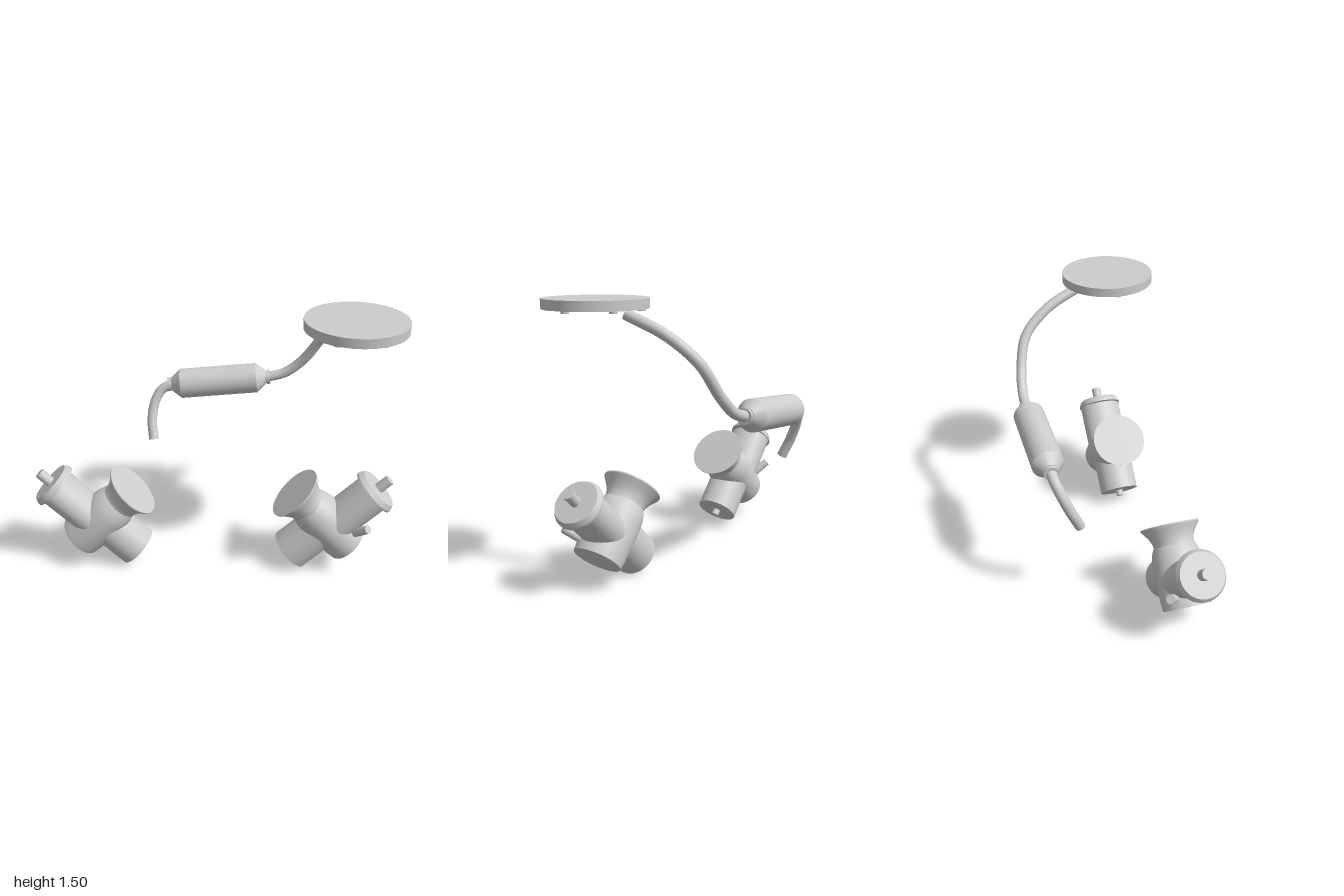
import * as THREE from 'three';
import { toCreasedNormals } from 'three/addons/utils/BufferGeometryUtils.js';

const metal = new THREE.MeshStandardMaterial({ color: 0xcccccc });
metal.name = 'light grey metal';

function mesh(name, geometry, parent) {
  const m = new THREE.Mesh(geometry, metal);
  m.name = name;
  parent.add(m);
  return m;
}

// Solid of revolution about y; profile is [radius, height] from bottom to top
function turned(profile, segments = 48) {
  const pts = profile.map(([r, y]) => new THREE.Vector2(r, y));
  return toCreasedNormals(new THREE.LatheGeometry(pts, segments), 0.5);
}

// Plain cylinder between two points
function rod(name, a, b, radius, parent, sides = 20) {
  const from = new THREE.Vector3(...a), to = new THREE.Vector3(...b);
  const dir = to.clone().sub(from);
  const m = mesh(name, new THREE.CylinderGeometry(radius, radius, dir.length(), sides), parent);
  m.position.copy(from).add(to).multiplyScalar(0.5);
  m.quaternion.setFromUnitVectors(new THREE.Vector3(0, 1, 0), dir.normalize());
  return m;
}

// Bent pipe with flat closed ends
function pipe(name, points, radius, parent) {
  const group = new THREE.Group();
  group.name = name;
  const curve = new THREE.CatmullRomCurve3(points.map((p) => new THREE.Vector3(...p)));
  mesh(name + 'Wall', new THREE.TubeGeometry(curve, 60, radius, 24), group);
  for (const [t, s] of [[0, -1], [1, 1]]) {
    const cap = mesh(name + 'End', new THREE.CircleGeometry(radius, 24), group);
    cap.position.copy(curve.getPointAt(t));
    cap.quaternion.setFromUnitVectors(new THREE.Vector3(0, 0, 1), curve.getTangentAt(t).multiplyScalar(s));
  }
  parent.add(group);
}

// Carburettor: local y runs along the slide, local x along the bore
function makeCarburettor() {
  const g = new THREE.Group();
  g.name = 'carburettor';

  // Flared intake, narrow neck and bulged bore body
  const bore = mesh('intakeHorn', turned([
    [0, -0.3], [0.163, -0.3], [0.162, -0.293], [0.143, -0.268], [0.127, -0.245],
    [0.116, -0.22], [0.11, -0.195], [0.11, -0.15], [0, -0.15],
  ]), g);
  bore.rotation.z = -Math.PI / 2;
  const body = mesh('boreBody', turned([
    [0, -0.19], [0.108, -0.19], [0.118, -0.165], [0.126, -0.135], [0.13, -0.1],
    [0.13, 0.1], [0.126, 0.145], [0, 0.145],
  ]), g);
  body.rotation.z = -Math.PI / 2;
  body.scale.z = 1.07;

  // Slide housing, slightly oval
  const slide = mesh('slideHousing', turned([[0, 0], [0.103, 0], [0.103, 0.33], [0, 0.33]]), g);
  slide.scale.z = 1.25;

  // Bevelled top cap with cable stem
  mesh('topCap', turned([[0, 0.315], [0.134, 0.315], [0.134, 0.328], [0.119, 0.355], [0, 0.355]]), g);
  rod('cableStem', [0, 0.34, 0], [0, 0.435, 0], 0.029, g);

  // Float bowl and drain plug
  const bowl = mesh('floatBowl', turned([[0, -0.28], [0.12, -0.28], [0.12, -0.02], [0, -0.02]]), g);
  bowl.position.x = -0.033;
  rod('drainPlug', [-0.033, -0.315, 0], [-0.033, -0.26, 0], 0.023, g, 12);

  // Slanted idle screw
  rod('idleScrew', [0.085, 0.08, 0.075], [0.085, 0.185, 0.14], 0.024, g);
  return g;
}

export function createModel() {
  const model = new THREE.Group();
  model.name = 'engineParts';

  // Pair of carburettors facing each other, one turned half round
  for (const [name, turn] of [['leftCarburettor', 0], ['rightCarburettor', Math.PI]]) {
    const side = new THREE.Group();
    side.name = name;
    const carb = makeCarburettor();
    carb.rotation.z = -Math.PI / 4;
    carb.position.set(0.6625, 0.2625, 0);
    side.add(carb);
    side.rotation.y = turn;
    side.position.z = 0.215;
    model.add(side);
  }

  // Round cover plate with six bolts underneath
  const cover = new THREE.Group();
  cover.name = 'coverPlate';
  cover.position.set(0.715, 0, 0.215);
  model.add(cover);
  const plate = mesh('plate', new THREE.CylinderGeometry(0.265, 0.265, 0.05, 64), cover);
  plate.position.y = 1.473;
  for (let i = 0; i < 6; i++) {
    const a = (i * Math.PI) / 3;
    const x = 0.225 * Math.cos(a), z = 0.225 * Math.sin(a);
    rod('coverBolt', [x, 1.435, z], [x, 1.455, z], 0.02, cover, 12);
  }

  // Header pipe and tail pipe
  pipe('headerPipe', [
    [0.71, 1.425, 0.035], [0.67, 1.33, -0.17], [0.61, 1.2, -0.315],
    [0.51, 1.03, -0.372], [0.405, 0.935, -0.39], [0.29, 0.898, -0.395],
  ], 0.029, model);
  pipe('tailPipe', [
    [-0.28, 0.842, -0.395], [-0.335, 0.81, -0.388], [-0.376, 0.74, -0.362],
    [-0.393, 0.64, -0.32], [-0.382, 0.53, -0.27],
  ], 0.029, model);

  // Silencer: collars, cones and barrel in one turned profile
  const silencer = mesh('silencer', turned([
    [0, -0.308], [0.042, -0.308], [0.042, -0.288], [0.036, -0.288], [0.036, -0.282], [0.042, -0.282],
    [0.088, -0.227], [0.088, 0.227], [0.042, 0.282], [0.036, 0.282], [0.036, 0.288], [0.042, 0.288],
    [0.042, 0.308], [0, 0.308],
  ]), model);
  silencer.position.set(0.008, 0.871, -0.395);
  silencer.rotation.z = -Math.PI / 2 + 0.1;

  return model;
}
